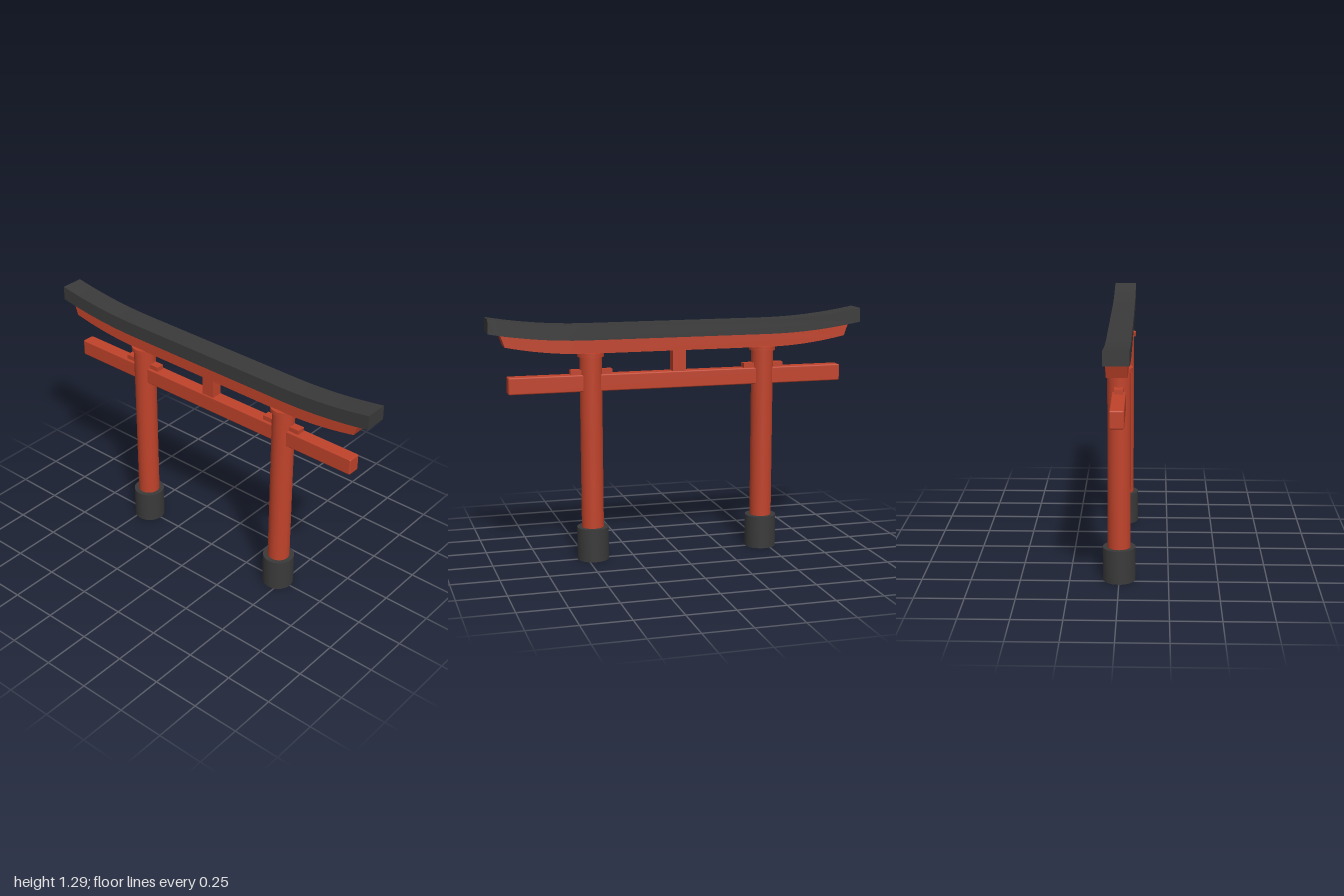
import * as THREE from 'three';
import { toCreasedNormals } from 'three/addons/utils/BufferGeometryUtils.js';
import { RoundedBoxGeometry } from 'three/addons/geometries/RoundedBoxGeometry.js';

const red = new THREE.MeshStandardMaterial({ color: 0xc0432b });
const dark = new THREE.MeshStandardMaterial({ color: 0x3a3a3a, side: THREE.DoubleSide });

function add(parent, name, geometry, material, x = 0, y = 0, z = 0) {
  const mesh = new THREE.Mesh(geometry, material);
  mesh.name = name;
  mesh.position.set(x, y, z);
  parent.add(mesh);
  return mesh;
}

// Beam along x: straight in the middle, its ends sweeping up to meet the given rise.
// Each edge is { half: half length, y: middle height, rise: lift at the end }.
function sweptBeam(bottom, top, depth) {
  const start = 0.48, steps = 12;
  const edge = ({ half, y, rise }) => {
    const right = [];
    for (let i = 0; i <= steps; i++) {
      const t = i / steps;
      right.push(new THREE.Vector2(start + (half - start) * t, y + rise * t * t));
    }
    const left = right.map((p) => new THREE.Vector2(-p.x, p.y)).reverse();
    return [...left, ...right];
  };
  const shape = new THREE.Shape([...edge(bottom), ...edge(top).reverse()]);
  const geometry = new THREE.ExtrudeGeometry(shape, { depth, bevelEnabled: false });
  geometry.translate(0, 0, -depth / 2);
  return toCreasedNormals(geometry, 0.5);
}

export function createModel() {
  const gate = new THREE.Group();
  gate.name = 'gate';

  // Pillars with stone sleeves, collars and wedges
  const sleeveProfile = [[0.083, 0], [0.083, 0.175], [0.057, 0.175]]
    .map(([r, y]) => new THREE.Vector2(r, y));
  const sleeve = toCreasedNormals(new THREE.LatheGeometry(sleeveProfile, 32), 0.6);
  for (const side of [-1, 1]) {
    const pillar = new THREE.Group();
    pillar.name = side > 0 ? 'leftPillar' : 'rightPillar';
    pillar.position.x = side * 0.467;
    gate.add(pillar);
    add(pillar, 'base', sleeve, dark);
    add(pillar, 'column', new THREE.CylinderGeometry(0.058, 0.058, 0.93, 32), red, 0, 0.625);
    add(pillar, 'collar', new THREE.CylinderGeometry(0.069, 0.069, 0.022, 32), red, 0, 1.089);
    for (const end of [-1, 1]) {
      add(pillar, 'wedge', new THREE.BoxGeometry(0.07, 0.027, 0.044), red, end * 0.075, 0.998);
    }
  }

  // Lower tie beam with slightly eased edges, and the short strut above it
  add(gate, 'tieBeam', new RoundedBoxGeometry(1.8, 0.088, 0.07, 1, 0.007), red, 0, 0.943);
  add(gate, 'centreStrut', new THREE.BoxGeometry(0.07, 0.13, 0.06), red, 0, 1.045);

  // Upper lintel, its ends slanting outwards, under the curved cap
  add(gate, 'lintel', sweptBeam(
    { half: 0.915, y: 1.098, rise: 0.047 },
    { half: 0.938, y: 1.172, rise: 0.038 }, 0.096), red);
  add(gate, 'cap', sweptBeam(
    { half: 1, y: 1.168, rise: 0.048 },
    { half: 1, y: 1.243, rise: 0.048 }, 0.122), dark);

  return gate;
}
